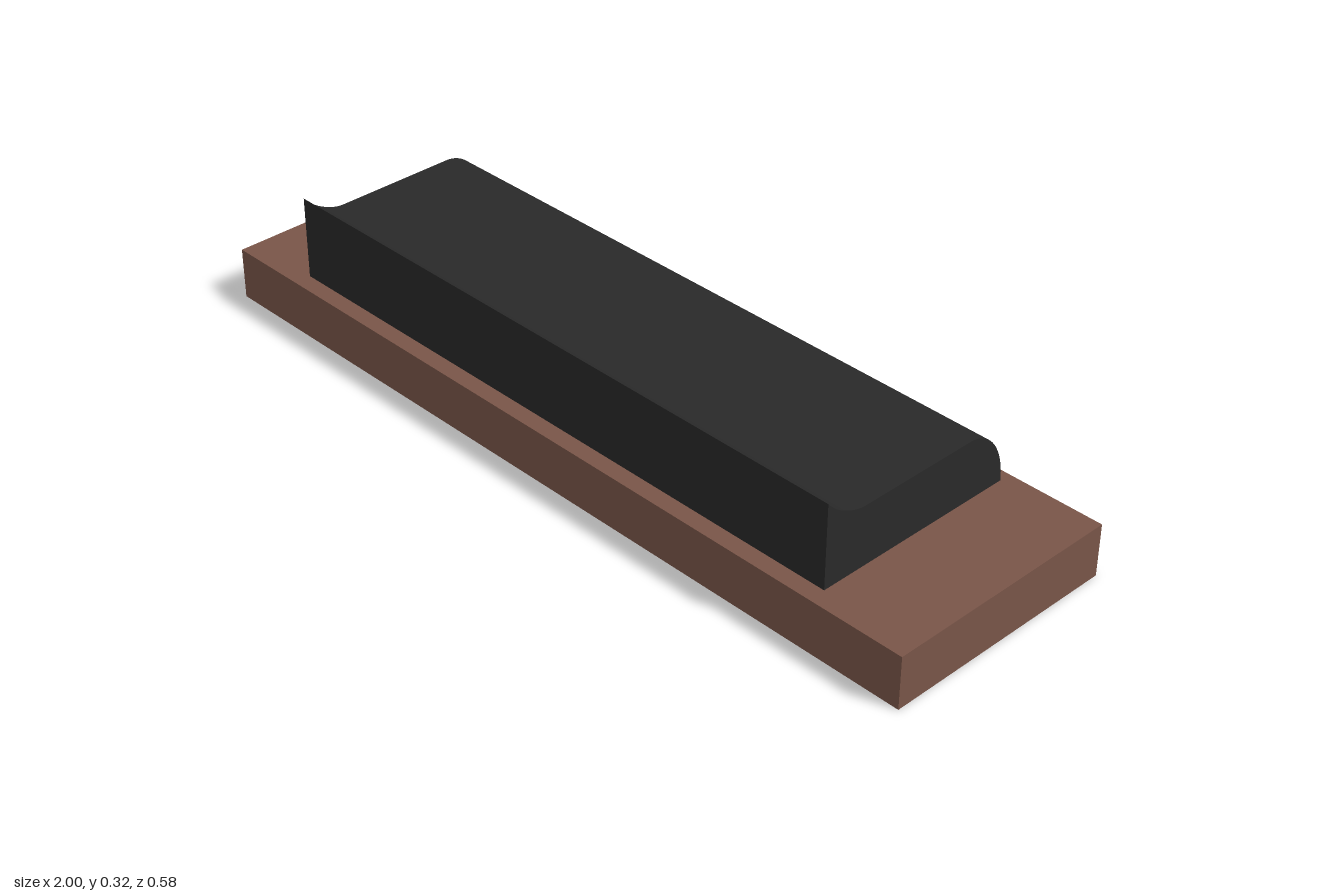
import * as THREE from 'three';
import { toCreasedNormals } from 'three/addons/utils/BufferGeometryUtils.js';

export function createModel() {
  const model = new THREE.Group();
  const brown = new THREE.MeshStandardMaterial({ color: 0x795548 });
  brown.name = 'brown';
  const charcoal = new THREE.MeshStandardMaterial({ color: 0x292929 });
  charcoal.name = 'charcoal';

  const baseTop = 0.124;

  // Flat rectangular base
  const base = new THREE.Mesh(new THREE.BoxGeometry(2, baseTop, 0.582), brown);
  base.name = 'base';
  base.position.y = baseTop / 2;
  model.add(base);

  // Long body: side profile (drawn as -z, y) with a raised front lip and a rounded back
  const profile = new THREE.Shape();
  profile.moveTo(-0.25, baseTop);
  profile.lineTo(0.262, baseTop);
  profile.bezierCurveTo(0.262, 0.205, 0.215, 0.267, 0.155, 0.267);
  profile.lineTo(-0.145, 0.267);
  profile.bezierCurveTo(-0.175, 0.267, -0.225, 0.29, -0.25, 0.323);
  profile.closePath();

  const bodyGeometry = new THREE.ExtrudeGeometry(profile, {
    depth: 1.57, bevelEnabled: false, curveSegments: 20,
  });
  bodyGeometry.rotateY(Math.PI / 2);
  bodyGeometry.translate(-0.8, 0, 0);
  const body = new THREE.Mesh(toCreasedNormals(bodyGeometry, Math.PI / 6), charcoal);
  body.name = 'body';
  model.add(body);

  return model;
}
